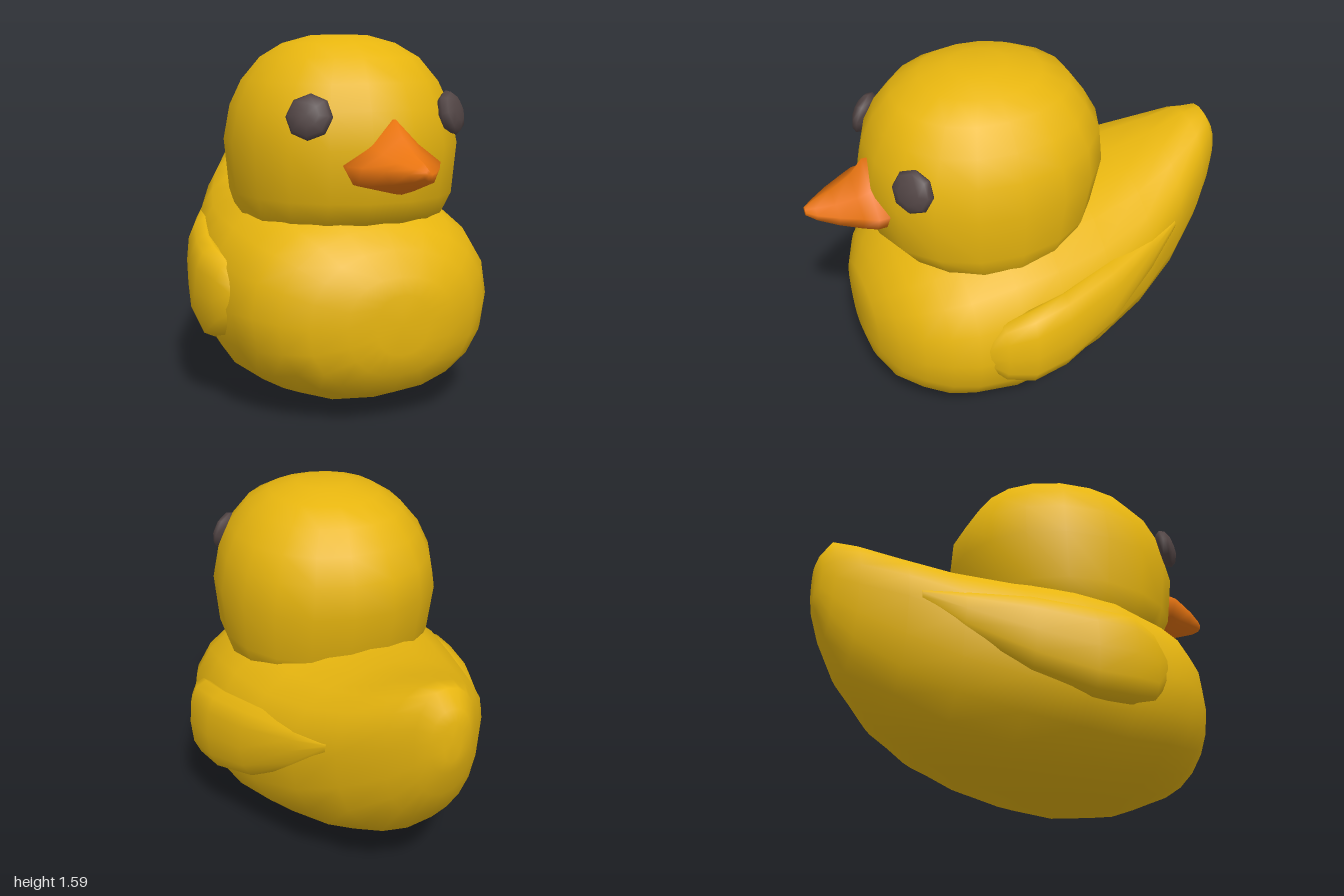
import * as THREE from 'three';

const yellow = new THREE.MeshStandardMaterial({ color: 0xe8b60f });
yellow.name = 'duck yellow';
const orange = new THREE.MeshStandardMaterial({ color: 0xe8740f });
orange.name = 'beak orange';
const dark = new THREE.MeshStandardMaterial({ color: 0x524545 });
dark.name = 'eye charcoal';

// Unit outline of a rounded section; a larger power gives a boxier shape
function roundOutline(sides, power = 2) {
  const bend = (v) => Math.sign(v) * Math.pow(Math.abs(v), 2 / power);
  return Array.from({ length: sides }, (_, i) => {
    const a = (i / sides) * Math.PI * 2;
    return [bend(Math.cos(a)), bend(Math.sin(a))];
  });
}

// Skin through sections [z, halfWidth, middleY, topY, bottomY, middleX], z rising
function loft(sections, outline) {
  const n = outline.length;
  const pos = [];
  const index = [];
  for (const [z, w, mid, top, bottom, cx = 0] of sections) {
    for (const [u, v] of outline) {
      pos.push(cx + u * w, mid + v * (v > 0 ? top - mid : mid - bottom), z);
    }
  }
  for (let s = 0; s < sections.length - 1; s++) {
    for (let j = 0; j < n; j++) {
      const a = s * n + j;
      const b = s * n + ((j + 1) % n);
      index.push(a, b, a + n, b, b + n, a + n);
    }
  }
  // End caps
  const last = sections.length - 1;
  for (const s of [0, last]) {
    const [z, , mid, , , cx = 0] = sections[s];
    const centre = pos.length / 3;
    pos.push(cx, mid, z);
    for (let j = 0; j < n; j++) {
      const a = s * n + j;
      const b = s * n + ((j + 1) % n);
      if (s === 0) index.push(centre, b, a);
      else index.push(centre, a, b);
    }
  }
  const g = new THREE.BufferGeometry();
  g.setAttribute('position', new THREE.Float32BufferAttribute(pos, 3));
  g.setIndex(index);
  g.computeVertexNormals();
  return g;
}

export function createModel() {
  const duck = new THREE.Group();
  duck.name = 'duck';
  const add = (name, geometry, material) => {
    const mesh = new THREE.Mesh(geometry, material);
    mesh.name = name;
    duck.add(mesh);
    return mesh;
  };

  // Body, from the raised tail to the chest
  add('body', loft([
    [-1.0, 0.04, 0.87, 0.96, 0.78],
    [-0.985, 0.09, 0.87, 1.01, 0.72],
    [-0.94, 0.14, 0.85, 1.08, 0.59],
    [-0.85, 0.22, 0.80, 1.07, 0.43],
    [-0.67, 0.35, 0.72, 1.01, 0.245],
    [-0.46, 0.46, 0.62, 0.965, 0.13],
    [-0.2, 0.56, 0.54, 0.95, 0.055],
    [0.05, 0.62, 0.49, 0.97, 0.015],
    [0.25, 0.63, 0.46, 0.96, 0],
    [0.45, 0.60, 0.45, 0.90, 0.025],
    [0.56, 0.555, 0.45, 0.86, 0.04],
    [0.66, 0.48, 0.44, 0.80, 0.085],
    [0.74, 0.38, 0.43, 0.72, 0.12],
    [0.80, 0.24, 0.43, 0.62, 0.21],
    [0.82, 0.12, 0.43, 0.55, 0.30],
  ], roundOutline(20, 2.25)), yellow);

  // Head: stacked rings [height, halfWidth, frontZ, backZ], turned upright
  const rings = [
    [0.72, 0.40, 0.56, -0.12],
    [0.82, 0.46, 0.65, -0.24],
    [0.91, 0.487, 0.72, -0.29],
    [1.13, 0.505, 0.745, -0.34],
    [1.28, 0.475, 0.71, -0.33],
    [1.39, 0.425, 0.655, -0.27],
    [1.49, 0.34, 0.575, -0.20],
    [1.55, 0.245, 0.45, -0.08],
    [1.585, 0.12, 0.32, 0.07],
  ].map(([h, w, front, back]) => [h, w, -0.2, -back, -front]);
  const head = loft(rings, roundOutline(18, 2.1));
  head.rotateX(-Math.PI / 2);
  add('head', head, yellow);

  // Beak with a peaked top and a broad lower lip
  add('beak', loft([
    [0.60, 0.21, 1.07, 1.25, 0.95],
    [0.735, 0.21, 1.07, 1.25, 0.95],
    [0.79, 0.175, 1.07, 1.185, 0.955],
    [0.88, 0.12, 1.065, 1.13, 0.98],
    [0.96, 0.06, 1.06, 1.10, 1.01],
    [1.0, 0.02, 1.06, 1.08, 1.035],
  ], [[1, 0], [0.5, 0.43], [0, 1], [-0.5, 0.43], [-1, 0], [-0.8, -0.65], [0, -1], [0.8, -0.65]]), orange);

  for (const side of [1, -1]) {
    const label = side > 0 ? 'left' : 'right';

    // Wing sweeping back and up to a narrow tip
    add(label + 'Wing', loft([
      [-0.62, 0.03, 0.73, 0.75, 0.70, 0.35 * side],
      [-0.46, 0.07, 0.65, 0.75, 0.54, 0.40 * side],
      [-0.2, 0.09, 0.55, 0.74, 0.38, 0.505 * side],
      [0.05, 0.09, 0.50, 0.71, 0.30, 0.575 * side],
      [0.22, 0.09, 0.49, 0.69, 0.29, 0.60 * side],
      [0.34, 0.07, 0.48, 0.64, 0.32, 0.575 * side],
      [0.41, 0.04, 0.48, 0.56, 0.40, 0.56 * side],
    ], roundOutline(12, 2.3)), yellow);

    // Flattened eye facing out along the cheek
    const eye = add(label + 'Eye', new THREE.SphereGeometry(1, 8, 6).rotateX(Math.PI / 2), dark);
    eye.scale.set(0.098, 0.096, 0.045);
    eye.position.set(0.325 * side, 1.262, 0.617);
    eye.rotation.set(-0.28, 0.66 * side, 0, 'YXZ');
  }
  return duck;
}
